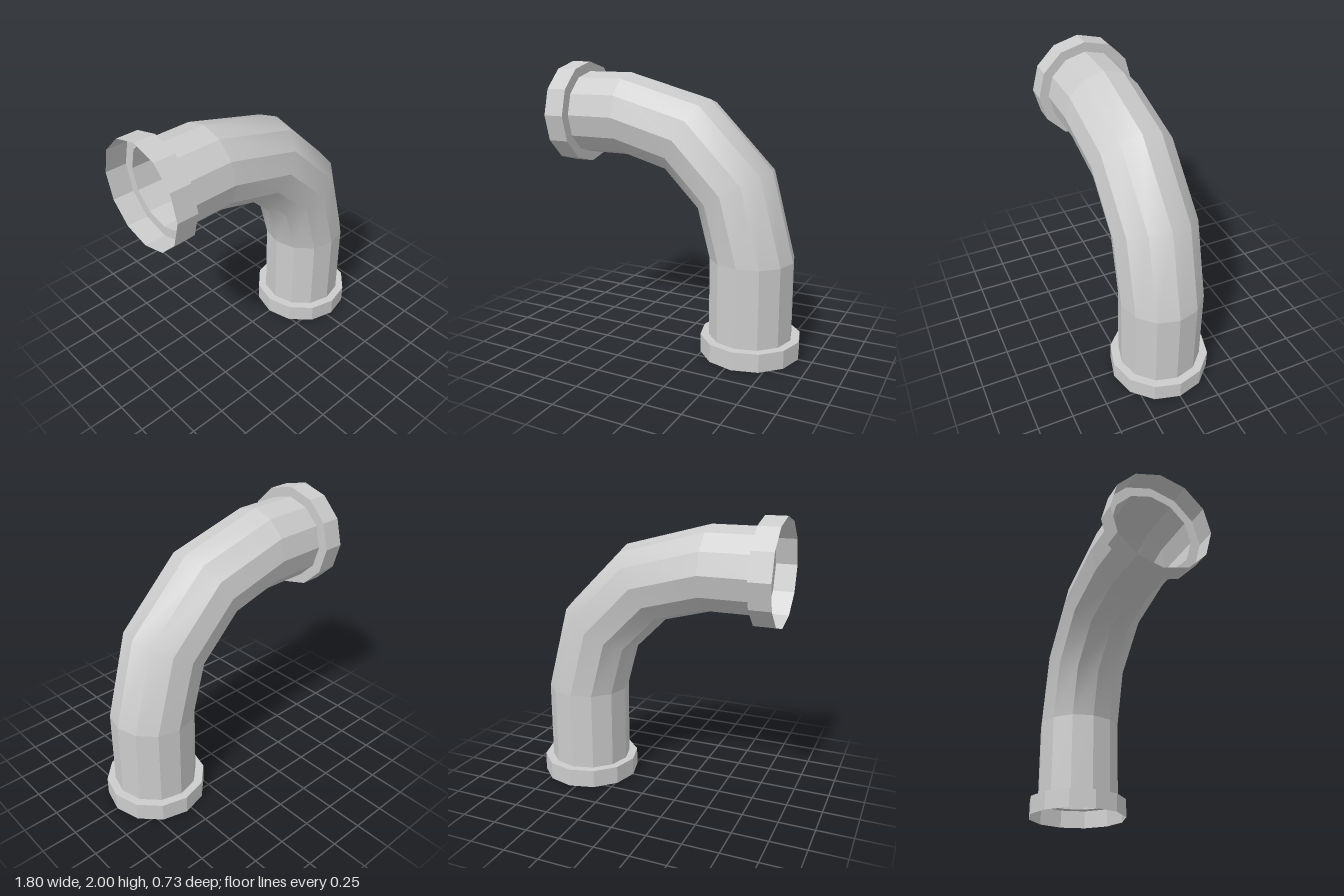
import * as THREE from 'three';

const SIDES = 12;
const BEND = { x: -0.4, y: 0.69, radius: 0.945 }; // centre and radius of the elbow
const PIPE_R = 0.295;

// Point on a section: a = angle round the elbow, s = shift along the pipe, r = radius
function sectionPoint({ a = 0, s = 0, r = PIPE_R }, phi) {
  const c = Math.cos(a), n = Math.sin(a);
  const reach = BEND.radius + r * Math.cos(phi);
  return [BEND.x + reach * c - s * n, BEND.y + reach * n + s * c, r * Math.sin(phi)];
}

// Skin through sections: facets are crisp round the pipe and smooth along it
function skin(sections) {
  const positions = [], index = [];
  for (let j = 0; j < SIDES; j++) {
    sections.forEach((section, i) => {
      const k = positions.length / 3;
      positions.push(...sectionPoint(section, (j / SIDES) * Math.PI * 2));
      positions.push(...sectionPoint(section, ((j + 1) / SIDES) * Math.PI * 2));
      if (i < sections.length - 1) index.push(k, k + 2, k + 1, k + 1, k + 2, k + 3);
    });
  }
  const geometry = new THREE.BufferGeometry();
  geometry.setAttribute('position', new THREE.Float32BufferAttribute(positions, 3));
  geometry.setIndex(index);
  geometry.computeVertexNormals();
  return geometry;
}

export function createModel() {
  const group = new THREE.Group();
  const material = new THREE.MeshStandardMaterial({ color: 0xcccccc, side: THREE.DoubleSide });
  const add = (name, ...sections) => {
    const mesh = new THREE.Mesh(skin(sections), material);
    mesh.name = name;
    group.add(mesh);
  };
  const end = Math.PI / 2;

  // Open lower collar, its shoulder and the upright pipe
  add('lowerCollar', { s: -0.69, r: 0.355 }, { s: -0.56, r: 0.355 });
  add('lowerShoulder', { s: -0.56, r: 0.355 }, { s: -0.56 });
  add('uprightPipe', { s: -0.56 }, { s: 0 });

  // Quarter-turn elbow in three segments
  add('elbow', ...[0, 1, 2, 3].map((i) => ({ a: (end * i) / 3 })));

  // Level pipe, shoulder and open upper collar
  add('levelPipe', { a: end }, { a: end, s: 0.35 });
  add('upperShoulder', { a: end, s: 0.35 }, { a: end, s: 0.35, r: 0.365 });
  add('upperCollar', { a: end, s: 0.35, r: 0.365 }, { a: end, s: 0.5, r: 0.365 });

  return group;
}
